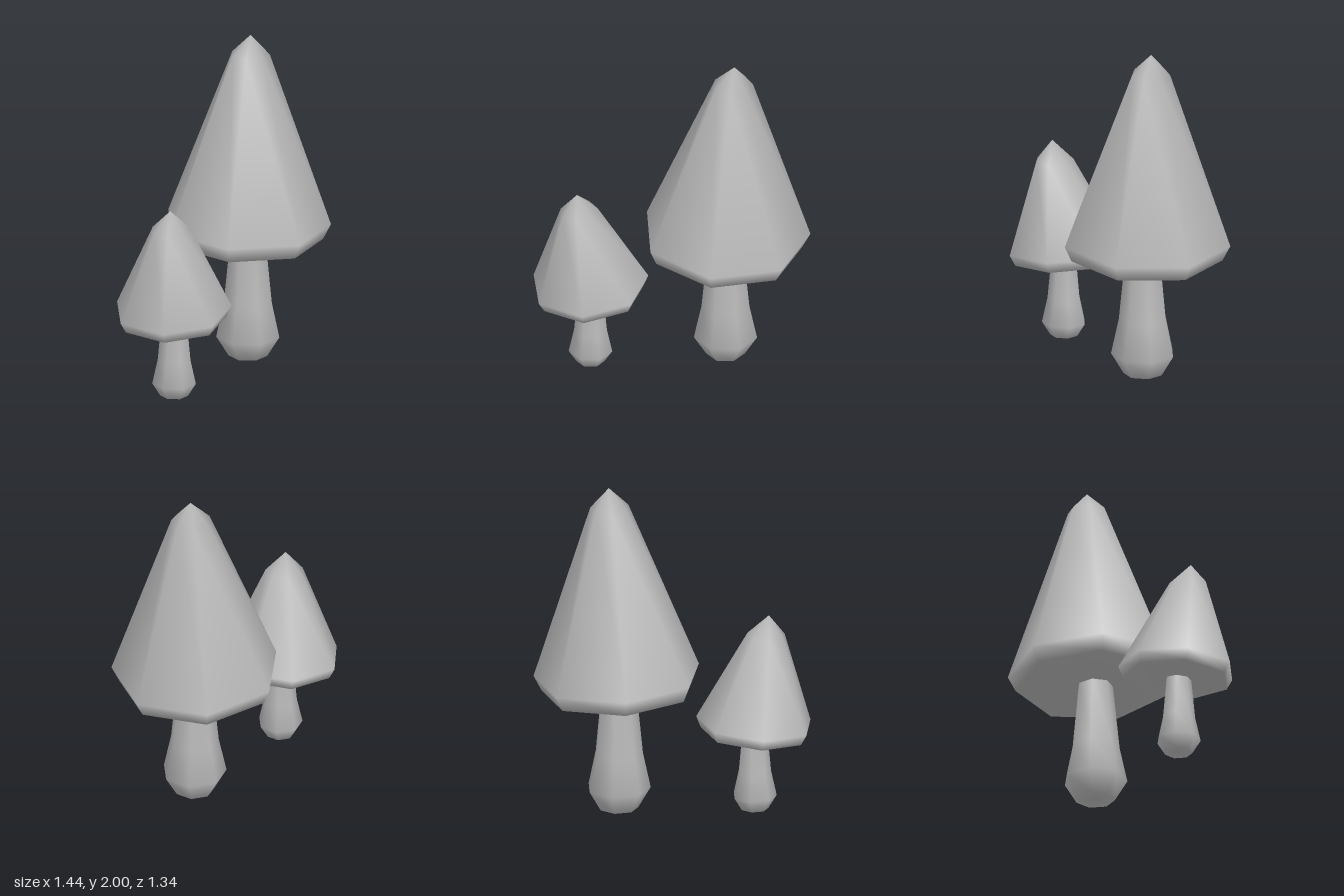
import * as THREE from 'three';

const SIDES = 7;
const grey = new THREE.MeshStandardMaterial({ color: 0xb8b8b8 });
grey.name = 'plain grey';

// Smooth seven-sided loft through [y, radius, zShift] rings, closed by a point at each end.
function loft(bottomY, rings, top, turn) {
  const pos = [0, bottomY, 0];
  const idx = [];
  for (const [y, r, z = 0] of rings) {
    for (let i = 0; i < SIDES; i++) {
      const a = turn + (i / SIDES) * Math.PI * 2;
      pos.push(Math.cos(a) * r, y, z + Math.sin(a) * r);
    }
  }
  pos.push(0, top[0], top[1] || 0);
  const last = pos.length / 3 - 1;
  for (let i = 0; i < SIDES; i++) {
    const j = (i + 1) % SIDES;
    idx.push(0, 1 + i, 1 + j);
    for (let k = 0; k < rings.length - 1; k++) {
      const a = 1 + k * SIDES, b = a + SIDES;
      idx.push(a + i, b + i, b + j, a + i, b + j, a + j);
    }
    const t = 1 + (rings.length - 1) * SIDES;
    idx.push(t + i, last, t + j);
  }
  const g = new THREE.BufferGeometry();
  g.setAttribute('position', new THREE.Float32BufferAttribute(pos, 3));
  g.setIndex(idx);
  g.computeVertexNormals();
  return g;
}

function part(name, geometry) {
  const mesh = new THREE.Mesh(geometry, grey);
  mesh.name = name;
  return mesh;
}

function mushroom(name, m) {
  const group = new THREE.Group();
  group.name = name;

  // Bulbous stem, its top sunk into the cap
  const stem = part('stem', loft(m.stem[0][0], m.stem, [m.stem.at(-1)[0]], m.stemTurn));
  stem.position.set(m.stemAt[0], 0, m.stemAt[1]);

  // Tilted pointed cap with a bevelled rim
  const cap = part('cap', loft(m.cap[0][0], m.cap, m.tip, m.capTurn));
  cap.position.set(...m.capAt);
  cap.rotation.set(m.tilt[0], 0, m.tilt[1]);

  group.add(stem, cap);
  return group;
}

export function createModel() {
  const model = new THREE.Group();
  model.name = 'mushrooms';

  model.add(mushroom('largeMushroom', {
    stemTurn: 2.356,
    stemAt: [0.244, -0.16],
    stem: [[0, 0.117], [0.125, 0.191], [0.34, 0.145], [0.74, 0.106], [0.82, 0.1]],
    capTurn: 0.28,
    capAt: [0.234, 0.828, -0.174],
    tilt: [-0.03, -0.035],
    cap: [[-0.093, 0.458], [0, 0.502], [1.052, 0.116]],
    tip: [1.173],
  }));

  model.add(mushroom('smallMushroom', {
    stemTurn: 2.356,
    stemAt: [-0.368, 0.358],
    stem: [[0.01, 0.083], [0.09, 0.132], [0.24, 0.099], [0.48, 0.077], [0.54, 0.075]],
    capTurn: 0.224,
    capAt: [-0.379, 0.55, 0.354],
    tilt: [0.06, 0.055],
    cap: [[-0.066, 0.318], [0, 0.35], [0.54, 0.114, 0.035]],
    tip: [0.66, 0.04],
  }));

  return model;
}
